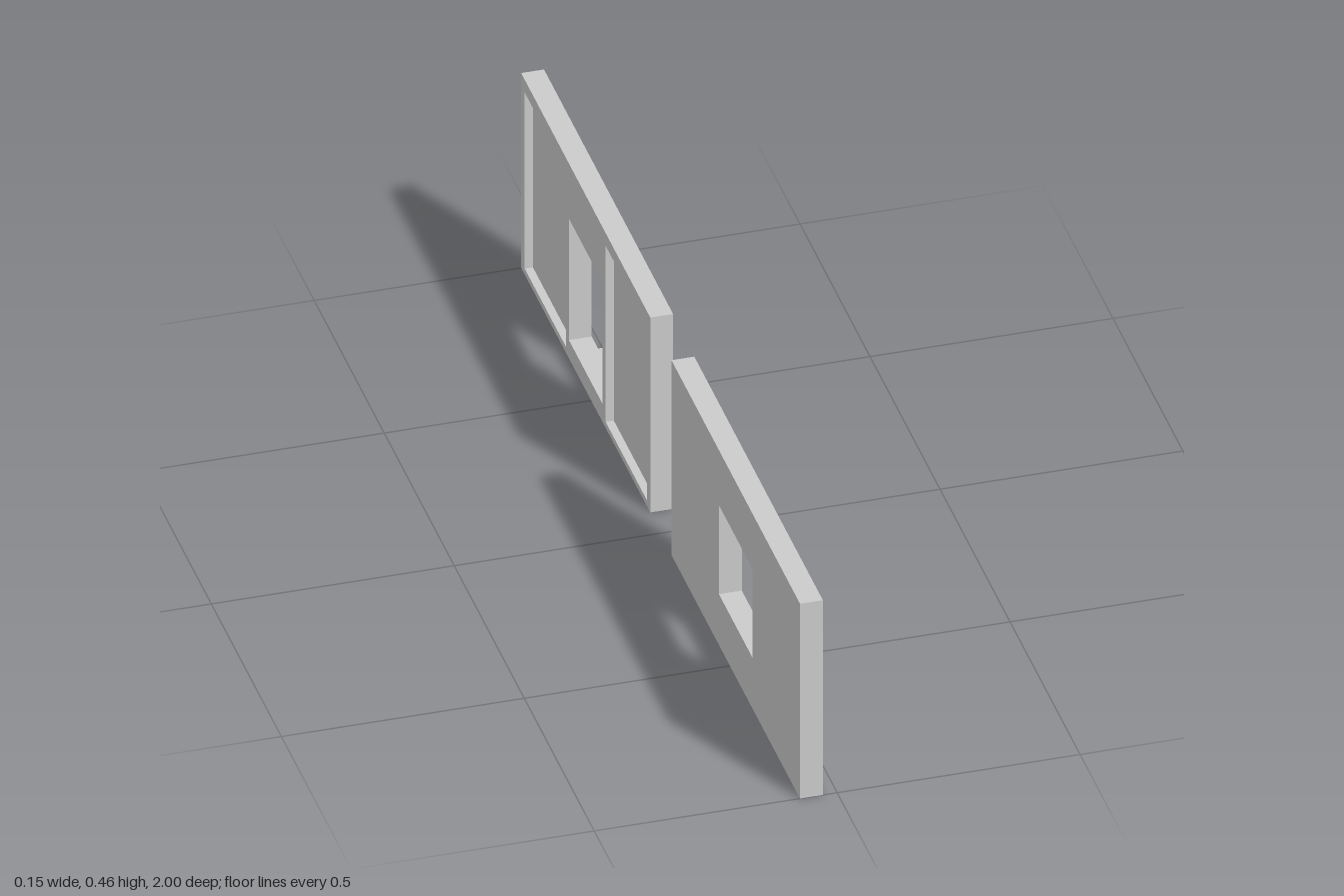
import * as THREE from 'three';

const material = new THREE.MeshStandardMaterial({ color: 0xcccccc, flatShading: true });
const HEIGHT = 0.46, THICK = 0.047, RECESS = 0.017;

// Traces a rectangle onto a Shape or Path
function rect(path, x0, x1, y0, y1) {
  path.moveTo(x0, y0);
  path.lineTo(x1, y0);
  path.lineTo(x1, y1);
  path.lineTo(x0, y1);
  path.closePath();
  return path;
}

// One slab of wall with rectangular holes, given as [x0, x1, y0, y1]
function slab(name, halfLength, holes, depth, offset) {
  const shape = rect(new THREE.Shape(), -halfLength, halfLength, 0, HEIGHT);
  for (const h of holes) shape.holes.push(rect(new THREE.Path(), ...h));
  const geometry = new THREE.ExtrudeGeometry(shape, { depth, bevelEnabled: false });
  geometry.translate(0, 0, offset);
  const mesh = new THREE.Mesh(geometry, material);
  mesh.name = name;
  return mesh;
}

// Wall centred on its thickness, with an opening and two recessed panels on one face
function wall(name, halfLength, openingBottom, panelBottom) {
  const opening = [-0.12, 0.12, openingBottom, 0.33];
  const panels = [-1, 1].map((s) => {
    const c = s * 0.289;
    return [c - 0.147, c + 0.147, panelBottom, 0.43];
  });
  const group = new THREE.Group();
  group.name = name;
  group.add(
    slab('wallCore', halfLength, [opening], THICK - RECESS, -THICK / 2),
    slab('panelFrame', halfLength, [opening, ...panels], RECESS, THICK / 2 - RECESS)
  );
  return group;
}

export function createModel() {
  const model = new THREE.Group();
  model.name = 'wallPair';

  // Window wall, panels facing +x
  const windowWall = wall('windowWall', 0.459, 0.12, 0.09);
  windowWall.rotation.y = Math.PI / 2;
  windowWall.position.set(-0.053, 0, 0.541);

  // Doorway wall, panels facing -x
  const doorWall = wall('doorWall', 0.461, 0.043, 0.014);
  doorWall.rotation.y = -Math.PI / 2;
  doorWall.position.set(-0.0505, 0, -0.539);

  // Thin step below the doorway, on the plain face
  const step = new THREE.Mesh(new THREE.BoxGeometry(0.104, 0.013, 0.232), material);
  step.name = 'doorStep';
  step.position.set(0.0245, 0.0085, -0.539);

  model.add(windowWall, doorWall, step);
  return model;
}
